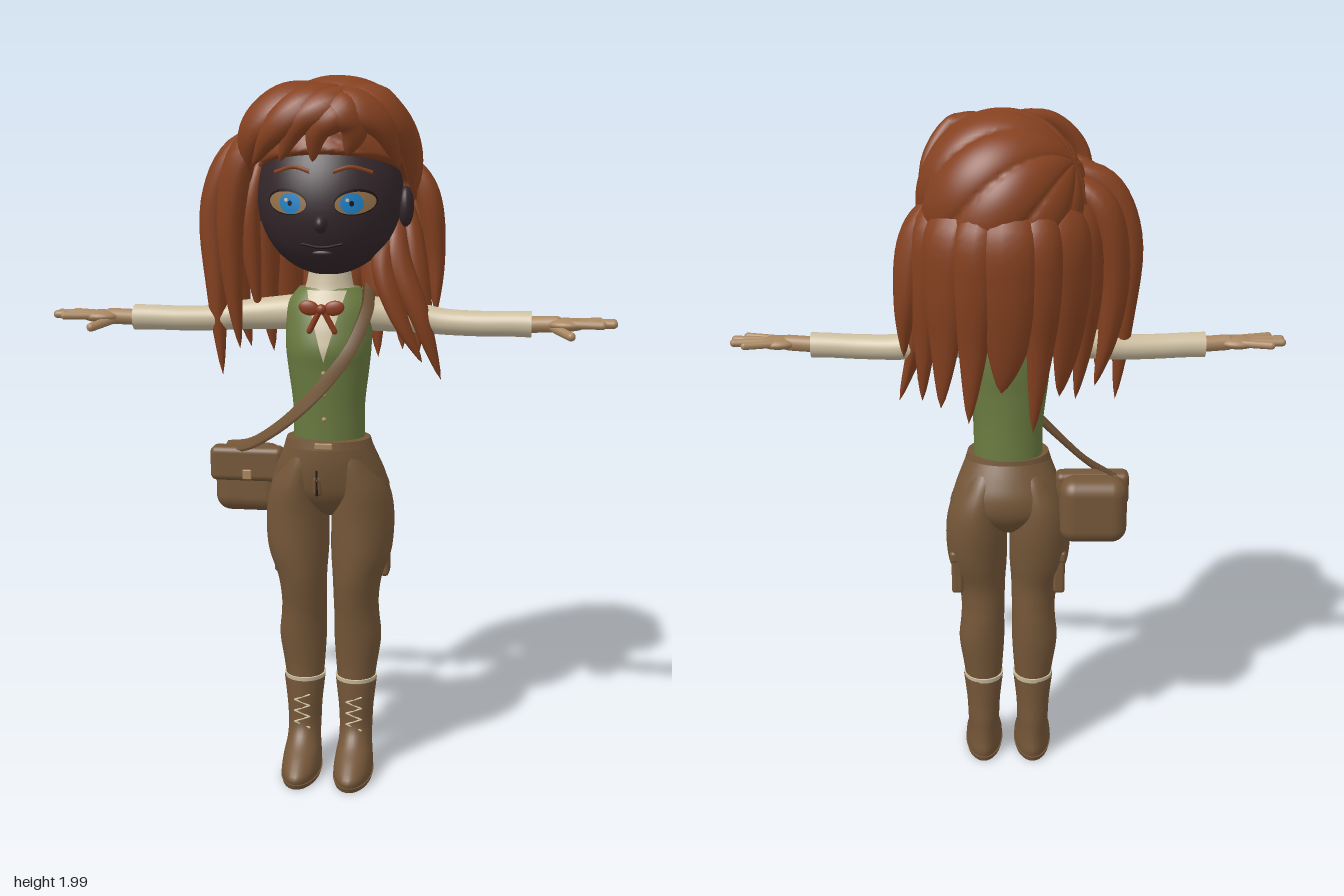
import * as THREE from 'three';
import { mergeVertices } from 'three/addons/utils/BufferGeometryUtils.js';
import { RoundedBoxGeometry } from 'three/addons/geometries/RoundedBoxGeometry.js';

const V = (x, y, z) => new THREE.Vector3(x, y, z);

const mat = (name, color) => Object.assign(new THREE.MeshStandardMaterial({ color, side: THREE.DoubleSide }), { name });

// Skin a list of equal-sized rings of points
function skin(rings) {
  const n = rings[0].length, idx = [];
  for (let j = 0; j < rings.length - 1; j++) for (let i = 0; i < n; i++) {
    const a = j * n + i, b = j * n + (i + 1) % n;
    idx.push(a, a + n, b, b, a + n, b + n);
  }
  const g = new THREE.BufferGeometry().setFromPoints(rings.flat());
  g.setIndex(idx);
  g.computeVertexNormals();
  return g;
}

// Smooth body of elliptical sections [y, cx, cz, rx, rz], closed at both ends
function loft(secs, n = 32, steps = 5) {
  const at = i => secs[Math.max(0, Math.min(secs.length - 1, i))];
  const list = [];
  for (let i = 0; i < secs.length - 1; i++) for (let k = 0; k < steps; k++) {
    const t = k / steps;
    list.push(secs[0].map((_, c) => {
      const [a, b, d, e] = [at(i - 1)[c], at(i)[c], at(i + 1)[c], at(i + 2)[c]];
      return b + 0.5 * t * (d - a + t * (2 * a - 5 * b + 4 * d - e + t * (3 * (b - d) + e - a)));
    }));
  }
  const first = secs[0], last = at(secs.length);
  const shut = s => [s[0], s[1], s[2], 0, 0];
  const all = [shut(first), first, ...list, last, last, shut(last)];
  return skin(all.map(([y, cx, cz, rx, rz]) => Array.from({ length: n }, (_, i) => {
    const a = i / n * Math.PI * 2;
    return V(cx + rx * Math.cos(a), y, cz + rz * Math.sin(a));
  })));
}

// Tapered hair lock lying flat around the head
function lockGeo(pts, width, thick) {
  const curve = new THREE.CatmullRomCurve3(pts.map(p => V(...p))), rings = [];
  for (let j = 0; j <= 24; j++) {
    const t = j / 24, p = curve.getPoint(t), T = curve.getTangent(t);
    const out = V(p.x, p.y - Math.min(p.y, 1.7), p.z).normalize();
    out.addScaledVector(T, -out.dot(T)).normalize();
    const side = T.clone().cross(out), w = Math.pow(Math.max(0, Math.sin(Math.PI * Math.pow(t, 0.7))), 0.7);
    rings.push(Array.from({ length: 14 }, (_, i) => {
      const a = i / 14 * Math.PI * 2;
      return p.clone().addScaledVector(side, Math.cos(a) * w * width).addScaledVector(out, Math.sin(a) * w * thick);
    }));
  }
  return skin(rings);
}

const TORSO = [[1, 0, .075, .1, .085], [1.1, 0, .08, .101, .087], [1.2, 0, .085, .113, .093], [1.26, 0, .087, .119, .1],
  [1.32, 0, .08, .12, .093], [1.38, 0, .073, .116, .078], [1.425, 0, .065, .085, .06]];
// Front surface of torso and face, for details that lie on them
function torsoZ(x, y) {
  let i = 0;
  while (i < TORSO.length - 2 && y > TORSO[i + 1][0]) i++;
  const t = (y - TORSO[i][0]) / (TORSO[i + 1][0] - TORSO[i][0]);
  const m = c => TORSO[i][c] + t * (TORSO[i + 1][c] - TORSO[i][c]);
  return m(2) + m(4) * Math.sqrt(Math.max(0, 1 - (x / m(3)) ** 2));
}
function faceZ(x, y) {
  const d = (1.68 - y) / .22;
  return .06 + .03 * d + .175 * Math.sqrt(Math.max(0, 1 - (x / .2) ** 2 - d * d));
}
function drape(geo, surface, lift) {
  const p = geo.attributes.position;
  for (let i = 0; i < p.count; i++) p.setZ(i, surface(p.getX(i), p.getY(i)) + lift);
  geo.computeVertexNormals();
  return geo;
}

export function createModel() {
  const root = new THREE.Group();
  root.name = 'adventurer';
  const hair = mat('auburn hair', 0x854120), face = mat('dark face', 0x33262a), brown = mat('brown cloth and leather', 0x745638),
    vest = mat('green vest', 0x6a7a40), shirt = mat('cream shirt', 0xcbbd9f), skinTone = mat('tan skin', 0xa88660),
    blue = mat('blue iris', 0x1f80c4), dark = mat('dark line', 0x1b1214), eye = mat('eye tan', 0x94714a), bow = mat('rust bow', 0x8c3c1e);
  const add = (name, geo, m, x = 0, y = 0, z = 0) => {
    const mesh = new THREE.Mesh(geo, m);
    mesh.name = name;
    mesh.position.set(x, y, z);
    root.add(mesh);
    return mesh;
  };
  const ball = (name, m, c, r) => add(name, new THREE.SphereGeometry(1, 24, 16).scale(...r), m, ...c);
  const tube = (name, m, pts, r) => add(name, new THREE.TubeGeometry(new THREE.CatmullRomCurve3(pts.map(p => V(...p))), 32, r, 8), m);
  const rod = (name, m, a, b, r) => {
    const A = V(...a), B = V(...b), d = B.clone().sub(A), mesh = add(name, new THREE.CapsuleGeometry(r, d.length(), 5, 12), m);
    mesh.position.copy(A.add(B).multiplyScalar(.5));
    mesh.quaternion.setFromUnitVectors(V(0, 1, 0), d.normalize());
  };

  // Torso, open neck and collar
  add('vest', loft(TORSO, 40), vest);
  const v = new THREE.PlaneGeometry(2, 1, 10, 16), vp = v.attributes.position;
  for (let i = 0; i < vp.count; i++) {
    const t = vp.getY(i) + .5;
    vp.setXY(i, vp.getX(i) * .055 * t, 1.23 + .19 * t);
  }
  add('shirtFront', drape(v, torsoZ, .006), shirt);
  add('collar', loft([[1.4, 0, .068, .082, .068], [1.43, 0, .068, .066, .058], [1.49, 0, .065, .055, .05]]), shirt);
  for (const y of [1.2, 1.14, 1.07]) ball('button', skinTone, [0, y, torsoZ(0, y) + .008], [.007, .007, .007]);

  // Bow tie
  ball('bowKnot', bow, [0, 1.38, .225], [.014, .014, .012]);
  for (const s of [1, -1]) {
    ball('bowLoop', bow, [s * .034, 1.383, .22], [.028, .02, .01]).rotation.z = s * .2;
    rod('bowTail', bow, [s * .008, 1.37, .218], [s * .034, 1.32, .212], .008);
  }

  // Trousers
  add('hips', loft([[.78, 0, .05, .03, .05], [.81, 0, .052, .1, .085], [.85, 0, .055, .166, .11], [.9, 0, .062, .158, .118],
    [.95, 0, .075, .139, .112], [1.0, 0, .088, .118, .1]], 40), brown);
  add('waistband', loft([[.985, 0, .087, .125, .103], [1.008, 0, .087, .118, .1]], 40), brown);
  add('beltBuckle', new RoundedBoxGeometry(.05, .018, .008, 2, .003), skinTone, 0, .998, .19);
  add('fly', new THREE.BoxGeometry(.005, .13, .005), dark, -.02, .92, .181);
  rod('flyFold', brown, [-.02, .9, .17], [-.02, .865, .165], .014);

  for (const s of [1, -1]) {
    const leg = a => a.map(([y, x, z, rx, rz]) => [y, s * x, z, rx, rz]);
    add('trouserLeg', loft(leg([[.27, .075, .052, .053, .056], [.33, .077, .051, .06, .061], [.41, .08, .052, .068, .07], [.48, .077, .056, .065, .076],
      [.53, .076, .062, .065, .08], [.6, .08, .068, .071, .088], [.68, .091, .062, .087, .102], [.78, .094, .056, .089, .112], [.86, .09, .06, .078, .115],
      [.93, .072, .07, .06, .105], [.97, .06, .08, .05, .09]])), brown);
    add('sockCuff', loft(leg([[.277, .075, .052, .058, .061], [.291, .075, .052, .06, .063]])), shirt);
    add('boot', loft(leg([[0, .076, .113, .052, .118], [.03, .076, .115, .056, .126], [.065, .076, .097, .053, .104],
      [.1, .076, .07, .048, .076], [.14, .076, .055, .048, .062], [.2, .076, .054, .051, .06], [.28, .076, .053, .06, .062]])), brown);
    add('bootSole', loft(leg([[0, .076, .114, .054, .124], [.014, .076, .115, .058, .129]])), brown);
    // Zigzag laces
    const lace = Array.from({ length: 8 }, (_, i) => [s * .076 + (i % 2 ? .022 : -.022), .12 + i * .017, .112]);
    for (let i = 0; i < 7; i++) rod('bootLace', shirt, lace[i], lace[i + 1], .0025);
    // Thigh pouch, set towards the back of the leg
    add('thighPouch', new RoundedBoxGeometry(.034, .13, .06, 3, .01), brown, s * .15, .652, .016);
    add('pouchFlap', new RoundedBoxGeometry(.04, .035, .066, 3, .01), brown, s * .151, .705, .016);

    // Sleeve and hand
    const sleeve = [[.07, 1.355, .06, .05, .05], [.16, 1.347, .05, .046, .045], [.25, 1.34, .048, .041, .041], [.32, 1.331, .053, .036, .039],
      [.42, 1.329, .064, .035, .037], [.5, 1.331, .07, .035, .036], [.555, 1.331, .074, .036, .037]];
    add('sleeve', loft(sleeve.map(([x, y, z, ry, rz]) => [x, -s * y, z, ry, rz])).rotateZ(-s * Math.PI / 2), shirt);
    rod('wrist', skinTone, [s * .53, 1.33, .077], [s * .62, 1.334, .085], .023);
    ball('palm', skinTone, [s * .65, 1.334, .088], [.055, .018, .043]);
    [[.06, .738, .038, .0105], [.077, .773, .07, .0115], [.095, .773, .102, .0115], [.112, .743, .132, .011]].forEach(([z0, x, z, r]) =>
      rod('finger', skinTone, [s * .66, 1.337, z0], [s * x, 1.338, z], r));
    rod('thumb', skinTone, [s * .615, 1.325, .1], [s * .66, 1.31, .155], .0125);

    // Eye, brow and ear
    const disc = (name, m, x, y, rx, ry, lift) =>
      add(name, drape(new THREE.RingGeometry(0, 1, 32, 5).scale(rx, ry, 1).rotateZ(s * .12).translate(x, y, 0), faceZ, lift), m);
    const ex = s * .09, ix = s * .082;
    disc('eyeRim', dark, ex, 1.662, .056, .034, .003);
    disc('eyeball', eye, ex, 1.66, .053, .029, .005);
    disc('iris', blue, ix, 1.659, .03, .027, .007);
    disc('pupil', dark, ix, 1.659, .006, .007, .009);
    disc('eyeGlint', shirt, ix - .011, 1.668, .005, .005, .011);
    tube('eyebrow', hair, [[.03, 1.74], [.075, 1.752], [.13, 1.738]].map(([x, y]) => [s * x, y, faceZ(x, y) + .001]), .0055);
    ball('ear', face, [s * .208, 1.645, .06], [.022, .055, .036]);
  }

  // Head
  const head = new THREE.SphereGeometry(1, 48, 32), hp = head.attributes.position;
  for (let i = 0; i < hp.count; i++) {
    const [x, y, z] = [hp.getX(i), hp.getY(i), hp.getZ(i)];
    hp.setXYZ(i, x * .2, 1.68 + y * .22, .06 + z * .175 - .03 * y);
  }
  head.computeVertexNormals();
  add('head', head, face);
  ball('nose', face, [0, 1.605, .228], [.019, .024, .032]);
  tube('mouth', dark, [[-.055, 1.552], [0, 1.543], [.055, 1.552]].map(([x, y]) => [x, y, faceZ(x, y)]), .0035);
  ball('lowerLip', face, [0, 1.527, faceZ(0, 1.527) - .003], [.028, .009, .009]);

  // Hair cap, grooved around an off-centre crown and cut back at the face
  let cap = new THREE.SphereGeometry(1, 140, 70);
  cap.deleteAttribute('uv');
  cap.deleteAttribute('normal');
  cap = mergeVertices(cap, 1e-4);
  const cp = cap.attributes.position, turn = new THREE.Quaternion().setFromUnitVectors(V(0, 1, 0), V(-.82, .5, -.26).normalize());
  for (let i = 0; i < cp.count; i++) {
    const p = V(0, 0, 0).fromBufferAttribute(cp, i), th = Math.acos(Math.max(-1, Math.min(1, p.y))), ph = Math.atan2(p.z, p.x);
    p.multiplyScalar(.95 + .075 * Math.sin(th) * Math.sqrt(Math.abs(Math.sin(5 * ph + 1.4 * th)))).applyQuaternion(turn);
    p.set(.012 + p.x * .235, 1.75 + p.y * .245, -.015 + p.z * .24);
    const limit = .02 + .4 * THREE.MathUtils.smoothstep(p.y, 1.7, 1.88);
    cp.setXYZ(i, p.x, p.y, Math.min(p.z, limit));
  }
  cap.computeVertexNormals();
  add('hairCap', cap, hair);

  const locks = (name, list) => list.forEach(([w, t, ...pts]) => add(name, lockGeo(pts, w, t), hair));
  locks('fringeLock', [
    [.07, .04, [.02, 1.95, .1], [-.1, 1.92, .18], [-.19, 1.84, .19], [-.215, 1.7, .13]],
    [.055, .04, [.05, 1.95, .15], [-.04, 1.91, .23], [-.12, 1.85, .24], [-.19, 1.755, .19]],
    [.05, .04, [.09, 1.93, .15], [.03, 1.91, .235], [-.05, 1.87, .255], [-.11, 1.765, .235]],
    [.045, .035, [.08, 1.92, .17], [.05, 1.89, .25], [0, 1.85, .26], [-.02, 1.765, .245]],
    [.05, .035, [0, 1.93, .17], [.06, 1.9, .25], [.09, 1.85, .25], [.07, 1.78, .24]],
    [.055, .035, [-.01, 1.93, .17], [.08, 1.91, .23], [.155, 1.86, .215], [.2, 1.75, .15]],
    [.07, .035, [.02, 1.95, .08], [.13, 1.92, .165], [.205, 1.84, .13], [.235, 1.66, .05]]]);
  locks('rightSideLock', [
    [.06, .045, [-.13, 1.84, .03], [-.255, 1.79, .05], [-.322, 1.65, .05], [-.32, 1.4, .06], [-.305, 1.17, .07]],
    [.06, .04, [-.13, 1.85, .13], [-.22, 1.79, .14], [-.265, 1.63, .12], [-.265, 1.42, .1], [-.25, 1.25, .09]],
    [.06, .045, [-.15, 1.83, -.04], [-.245, 1.75, -.05], [-.285, 1.58, -.04], [-.275, 1.4, -.03], [-.24, 1.24, -.02]],
    [.045, .03, [-.19, 1.78, .07], [-.22, 1.64, .08], [-.215, 1.48, .07], [-.2, 1.34, .06]]]);
  locks('leftSideLock', [
    [.045, .035, [.18, 1.64, .01], [.19, 1.5, .06], [.25, 1.35, .075], [.31, 1.17, .06]],
    [.04, .03, [.17, 1.62, 0], [.15, 1.5, .08], [.19, 1.36, .1], [.26, 1.22, .09]],
    [.045, .035, [.19, 1.68, -.03], [.22, 1.55, .01], [.25, 1.4, .03], [.285, 1.24, .03]],
    [.055, .04, [.19, 1.78, -.08], [.25, 1.67, -.08], [.275, 1.5, -.09], [.285, 1.34, -.07]]]);
  const backWidths = [.06, .075, .058, .08, .062, .074, .062];
  backWidths.forEach((w, i) => {
    const a = -1.2 + i * .385, sx = Math.sin(a), cz = -Math.cos(a), low = 1.22 + .06 * (i % 2) - .03 * (i % 3);
    locks('backLock', [[w, .045, [sx * .14, 1.8, cz * .15], [sx * .215 + .01, 1.715, cz * .232],
      [sx * .235 + .01, 1.57, cz * .235], [sx * .235 + .015, 1.4, cz * .215], [sx * .23 + .03, low, cz * .2]]]);
  });

  // Shoulder bag with a front flap, and its strap
  add('bagBody', new RoundedBoxGeometry(.196, .195, .11, 5, .045), brown, -.245, .86, -.005);
  add('bagFlap', new RoundedBoxGeometry(.212, .1, .06, 4, .018), brown, -.244, .91, .038);
  add('bagClasp', new RoundedBoxGeometry(.026, .028, .01, 2, .003), skinTone, -.24, .882, .069);
  const path = new THREE.CatmullRomCurve3([[.105, 1.4, -.01], [.108, 1.418, .06], [.112, 1.37, .14], [.075, 1.27, .192], [.01, 1.18, .197],
    [-.065, 1.1, .185], [-.14, 1.035, .15], [-.23, .975, .08], [-.31, .95, .01]].map(p => V(...p)));
  add('bagStrap', skin(Array.from({ length: 61 }, (_, j) => {
    const p = path.getPoint(j / 60), T = path.getTangent(j / 60), out = V(p.x, .1, p.z - .04);
    out.addScaledVector(T, -out.dot(T)).normalize();
    const side = T.clone().cross(out);
    return [[1, -1], [1, 1], [-1, 1], [-1, -1]].map(([a, b]) => p.clone().addScaledVector(side, a * .017).addScaledVector(out, b * .006));
  })), brown);
  return root;
}
